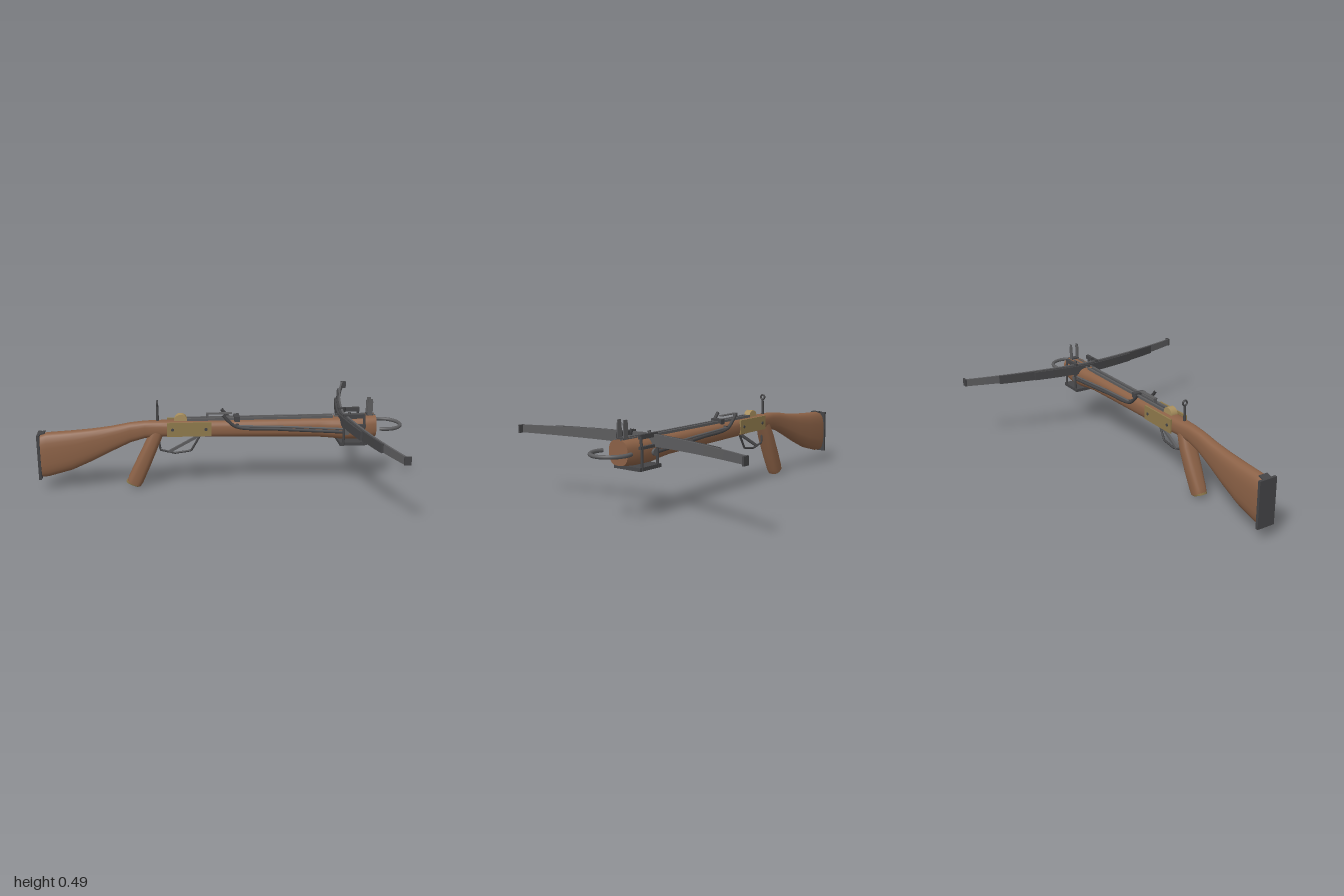
import * as THREE from 'three';

const mat = (name, color) => {
  const m = new THREE.MeshStandardMaterial({ color });
  m.name = name;
  return m;
};

// Lofted body along x; each section is [x, bottom, top, halfWidth]
function loft(sections, power = 0.75, n = 24) {
  const pos = [], idx = [];
  const bend = (v) => Math.sign(v) * Math.abs(v) ** power;
  const ring = ([x, b, t, w]) => {
    for (let j = 0; j < n; j++) {
      const a = (j / n) * Math.PI * 2;
      pos.push(x, (b + t) / 2 + bend(Math.cos(a)) * (t - b) / 2, bend(Math.sin(a)) * w);
    }
  };
  sections.forEach(ring);
  for (let i = 0; i < sections.length - 1; i++) {
    for (let j = 0; j < n; j++) {
      const k = (j + 1) % n, p = i * n, q = p + n;
      idx.push(p + j, p + k, q + j, p + k, q + k, q + j);
    }
  }
  // end caps with their own vertices, so the edges stay sharp
  [sections[0], sections[sections.length - 1]].forEach((s, e) => {
    const start = pos.length / 3;
    ring(s);
    for (let j = 1; j < n - 1; j++) {
      idx.push(start, start + (e ? j : j + 1), start + (e ? j + 1 : j));
    }
  });
  const g = new THREE.BufferGeometry();
  g.setAttribute('position', new THREE.Float32BufferAttribute(pos, 3));
  g.setIndex(idx);
  g.computeVertexNormals();
  return g;
}

// One curved spring leaf, tapering to its tips
function leaf(halfLength, height, tipHeight, rootX) {
  const g = new THREE.BoxGeometry(0.011, 1, halfLength * 2, 1, 1, 40);
  const p = g.attributes.position;
  for (let i = 0; i < p.count; i++) {
    const z = Math.abs(p.getZ(i));
    p.setX(i, p.getX(i) + rootX + 0.1 * z + 0.15 * z * z);
    p.setY(i, 0.385 + p.getY(i) * THREE.MathUtils.lerp(height, tipHeight, z / 0.72));
  }
  g.computeVertexNormals();
  return g;
}

// Straight-segment or smooth rod through points
function rod(points, radius, smooth = false) {
  const v = points.map((p) => new THREE.Vector3(...p));
  let path;
  if (smooth) path = new THREE.CatmullRomCurve3(v);
  else {
    path = new THREE.CurvePath();
    for (let i = 0; i < v.length - 1; i++) path.add(new THREE.LineCurve3(v[i], v[i + 1]));
  }
  return new THREE.TubeGeometry(path, (v.length - 1) * 10, radius, 8);
}

export function createModel() {
  const wood = mat('wood', 0x8b6146);
  const steel = mat('steel', 0x5c5c5e);
  const dark = mat('dark steel', 0x444446);
  const brass = mat('brass', 0x8f7a4c);
  const lightBrass = mat('light brass', 0xa88f5e);

  const model = new THREE.Group();
  model.name = 'crossbow';
  const add = (name, geometry, material, x = 0, y = 0, z = 0) => {
    const m = new THREE.Mesh(geometry, material);
    m.name = name;
    m.position.set(x, y, z);
    model.add(m);
    return m;
  };
  const box = (name, material, sx, sy, sz, x, y, z) =>
    add(name, new THREE.BoxGeometry(sx, sy, sz), material, x, y, z);
  const pin = (name, material, r, length, x, y, z) => {
    const g = new THREE.CylinderGeometry(r, r, length, 20);
    g.rotateX(Math.PI / 2);
    return add(name, g, material, x, y, z);
  };

  // Wooden stock from butt to fore-end
  add('stock', loft([
    [-0.985, 0.085, 0.325, 0.045], [-0.95, 0.087, 0.336, 0.047], [-0.82, 0.122, 0.343, 0.046],
    [-0.7, 0.175, 0.352, 0.041], [-0.6, 0.225, 0.364, 0.036], [-0.5, 0.272, 0.382, 0.033],
    [-0.42, 0.295, 0.39, 0.033], [-0.34, 0.302, 0.391, 0.038], [-0.26, 0.303, 0.392, 0.046],
    [-0.05, 0.296, 0.392, 0.05], [0.3, 0.29, 0.392, 0.053], [0.52, 0.284, 0.392, 0.053],
    [0.6, 0.277, 0.393, 0.06], [0.66, 0.27, 0.396, 0.069], [0.76, 0.27, 0.4, 0.069],
    [0.8, 0.273, 0.402, 0.064], [0.845, 0.278, 0.402, 0.06],
  ]), wood);

  // Butt plate with a short hooked lip
  box('buttPlate', dark, 0.015, 0.25, 0.1, -0.992, 0.207, 0);
  box('buttPlateTopLip', dark, 0.035, 0.006, 0.05, -0.975, 0.334, 0).rotation.z = 0.25;

  // Slanted pistol grip with brass cap
  const grip = new THREE.Group();
  grip.name = 'grip';
  grip.position.set(-0.352, 0.33, 0);
  grip.rotation.z = Math.atan2(-0.31, -0.14);
  const gripWood = new THREE.Mesh(loft([
    [0, -0.036, 0.036, 0.036], [0.08, -0.037, 0.038, 0.045],
    [0.2, -0.041, 0.042, 0.043], [0.3, -0.044, 0.043, 0.038], [0.328, -0.04, 0.039, 0.036],
  ]), wood);
  gripWood.name = 'gripWood';
  const gripCap = new THREE.Mesh(loft([
    [0.325, -0.046, 0.035, 0.034], [0.335, -0.044, 0.03, 0.03],
  ]), brass);
  gripCap.name = 'gripCap';
  grip.add(gripWood, gripCap);
  model.add(grip);

  // Brass lock plates, rivets and the release nut
  for (const s of [1, -1]) {
    box('lockPlate', brass, 0.24, 0.078, 0.009, -0.18, 0.351, s * 0.049);
    for (const x of [-0.27, -0.09]) pin('lockRivet', dark, 0.008, 0.006, x, 0.351, s * 0.054);
  }
  pin('releaseNut', lightBrass, 0.036, 0.038, -0.225, 0.39, 0);
  box('boltClip', steel, 0.14, 0.005, 0.024, -0.015, 0.424, 0);
  box('boltClipFoot', steel, 0.012, 0.035, 0.02, -0.08, 0.407, 0);

  // Bolt groove rails along the top
  for (const s of [1, -1]) box('boltRail', steel, 0.8, 0.014, 0.013, 0.21, 0.396, s * 0.015);
  box('boltGroove', dark, 0.8, 0.006, 0.02, 0.21, 0.393, 0);
  for (const s of [1, -1]) box('foreEndRail', steel, 0.23, 0.006, 0.006, 0.73, 0.402, s * 0.016);

  // Trigger lever and guard
  add('triggerGuard', rod([[-0.35, 0.31, 0], [-0.338, 0.222, 0], [-0.26, 0.202, 0],
    [-0.17, 0.214, 0], [-0.12, 0.3, 0]], 0.006), dark);
  box('triggerLever', steel, 0.2, 0.014, 0.014, -0.203, 0.258, 0).rotation.z = 0.5;

  // Rear peep sight
  add('rearSightPost', new THREE.CylinderGeometry(0.006, 0.008, 0.09, 10), dark, -0.35, 0.43, 0);
  add('rearSightRing', new THREE.TorusGeometry(0.013, 0.005, 8, 20), dark, -0.35, 0.488, 0)
    .rotation.y = Math.PI / 2;

  // Front sight prongs
  for (const s of [1, -1]) {
    box('frontSightProng', steel, 0.028, 0.1, 0.006, 0.814, 0.43, s * 0.02);
    box('frontSightTip', steel, 0.022, 0.02, 0.005, 0.814, 0.484, s * 0.02);
  }
  box('frontSightBase', dark, 0.032, 0.012, 0.046, 0.814, 0.403, 0);

  // Cocking arms either side, joined by a cross bar
  for (const s of [1, -1]) {
    add('cockingArm', rod([[0, 0.432, s * 0.06], [0.03, 0.398, s * 0.061], [0.075, 0.364, s * 0.062],
      [0.3, 0.347, s * 0.065], [0.66, 0.325, s * 0.073]], 0.009, true), dark);
    add('cockingArmBrace', rod([[0.08, 0.368, s * 0.06], [0.35, 0.358, s * 0.062],
      [0.66, 0.342, s * 0.072]], 0.006), steel);
    pin('armPivot', steel, 0.018, 0.012, 0.675, 0.328, s * 0.078);
  }
  pin('cockingCrossBar', dark, 0.012, 0.125, 0.08, 0.366, 0);
  box('stringClaw', dark, 0.03, 0.04, 0.07, 0.08, 0.392, 0);

  // Layered steel prod with hooked tips
  add('mainLeaf', leaf(0.715, 0.062, 0.04, 0.668), steel);
  add('middleLeaf', leaf(0.53, 0.056, 0.046, 0.656), dark);
  add('shortLeaf', leaf(0.33, 0.05, 0.046, 0.644), dark);
  for (const s of [1, -1]) box('prodTip', dark, 0.034, 0.042, 0.01, 0.824, 0.385, s * 0.714);

  // Clamp: bottom plate, uprights and bolts
  box('clampPlate', dark, 0.15, 0.018, 0.17, 0.715, 0.259, 0);
  for (const s of [1, -1]) {
    for (const [x, top] of [[0.66, 0.42], [0.77, 0.42]]) {
      add('clampRod', rod([[x, 0.25, s * 0.08], [x, top - 0.06, s * 0.08], [x, top, s * 0.073]], 0.007), dark);
    }
    box('clampJaw', dark, 0.12, 0.022, 0.018, 0.715, 0.412, s * 0.07);
    box('clampJaw', dark, 0.13, 0.014, 0.016, 0.715, 0.36, s * 0.077);
    add('clampHook', rod([[0.69, 0.4, s * 0.068], [0.69, 0.432, s * 0.055]], 0.008), dark);
  }

  // Foot stirrup: an open ring ahead of the fore-end
  const ring = new THREE.TorusGeometry(0.098, 0.01, 10, 40, Math.PI * 1.24);
  ring.rotateZ(-Math.PI * 0.62);
  ring.rotateX(Math.PI / 2);
  add('stirrup', ring, steel, 0.89, 0.345, 0);

  return model;
}
